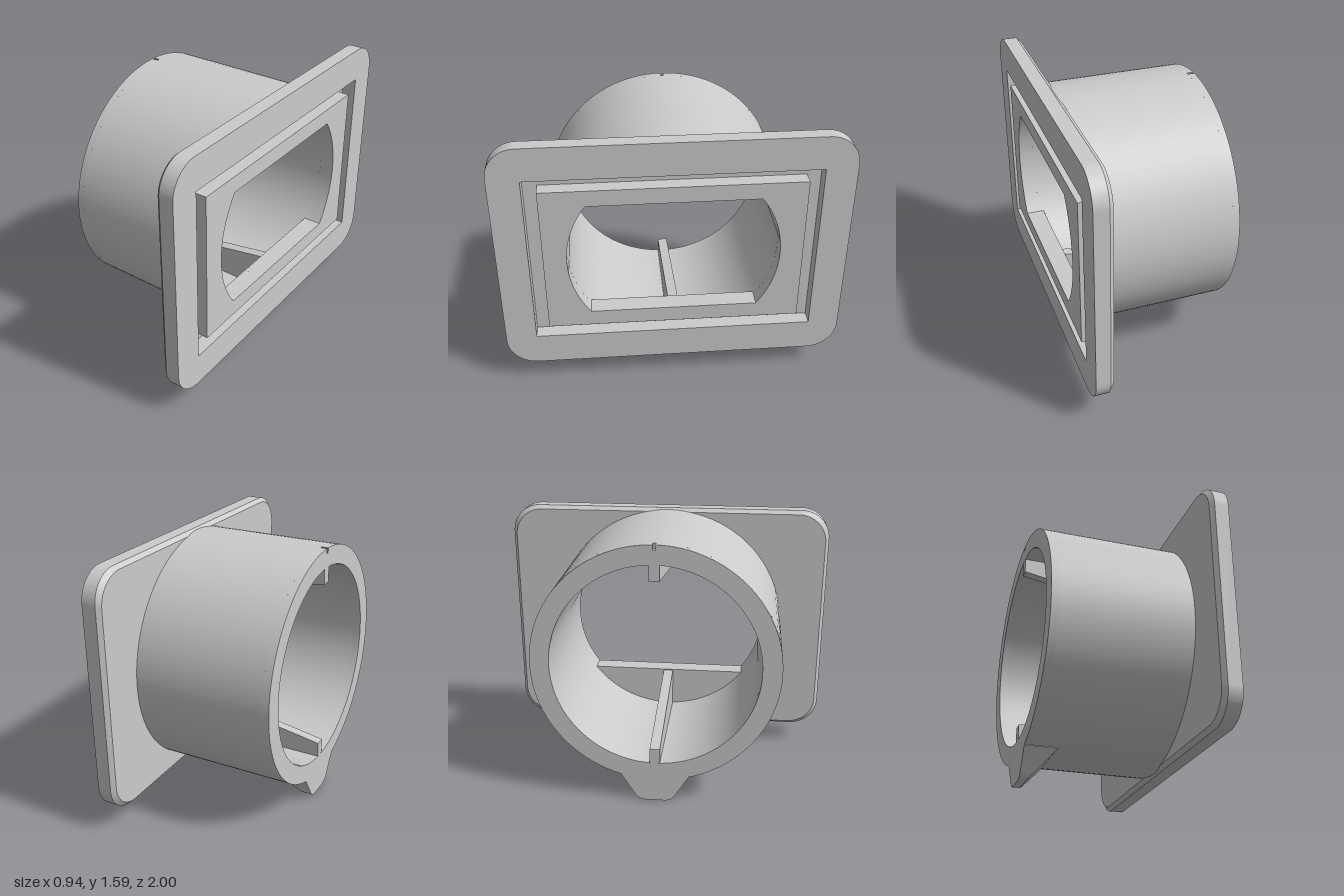
import * as THREE from 'three';
import { toCreasedNormals } from 'three/addons/utils/BufferGeometryUtils.js';

const AXIS_Y = 0.86;               // height of the tube axis
const BACK = -0.47, FRONT = 0.47;  // extent along x
const R_OUT = 0.72, R_IN = 0.607;
const PLATE = 0.36, FLOOR = 0.385; // plate back and groove floor

export function createModel() {
  const material = new THREE.MeshStandardMaterial({ color: 0xcccccc });
  const model = new THREE.Group();
  const body = new THREE.Group();
  body.name = 'adapter';
  body.position.y = AXIS_Y;
  model.add(body);

  // Extrudes a section drawn across the tube axis from x0 to x1
  const addSection = (name, shape, x0, x1, reshape) => {
    let geo = new THREE.ExtrudeGeometry(shape, { depth: x1 - x0, bevelEnabled: false, curveSegments: 48 });
    geo.rotateY(Math.PI / 2).translate(x0, 0, 0);
    if (reshape) {
      const p = geo.attributes.position, v = new THREE.Vector3();
      for (let i = 0; i < p.count; i++) {
        reshape(v.fromBufferAttribute(p, i));
        p.setXYZ(i, v.x, v.y, v.z);
      }
    }
    geo = toCreasedNormals(geo, 0.5);
    const mesh = new THREE.Mesh(geo, material);
    mesh.name = name;
    body.add(mesh);
  };

  const circle = r => new THREE.Path().absarc(0, 0, r, 0, Math.PI * 2, true);

  const rect = (w, h, Type = THREE.Shape) => new Type([
    [-w, -h], [w, -h], [w, h], [-w, h]].map(([x, y]) => new THREE.Vector2(x, y)));

  const roundedRect = (w, h, r) => {
    const s = new THREE.Shape();
    [[1, 1], [-1, 1], [-1, -1], [1, -1]].forEach(([sx, sy], i) =>
      s.absarc(sx * (w - r), sy * (h - r), r, i * Math.PI / 2, (i + 1) * Math.PI / 2, false));
    return s.closePath();
  };

  // Round window cut by flats at top and bottom
  const windowHole = () => {
    const a = Math.asin(0.3625 / R_IN);
    return new THREE.Path()
      .absarc(0, 0, R_IN, -a, a, false)
      .absarc(0, 0, R_IN, Math.PI - a, Math.PI + a, false)
      .closePath();
  };

  // Tube, with a small index notch in the top of its open end
  const ring = new THREE.Shape().absarc(0, 0, R_OUT, 0, Math.PI * 2, false);
  ring.holes.push(circle(R_IN));
  addSection('tube', ring, BACK + 0.04, 0.383);

  const e = 0.008 / R_OUT;
  const notched = new THREE.Shape()
    .absarc(0, 0, R_OUT, Math.PI / 2 + e, Math.PI * 2.5 - e, false)
    .lineTo(0.008, R_OUT - 0.03).lineTo(-0.008, R_OUT - 0.03).closePath();
  notched.holes.push(circle(R_IN));
  addSection('notchedTubeEnd', notched, BACK, BACK + 0.04);

  // Plate back layer, its rear edge chamfered
  const backLayer = roundedRect(1, 0.73, 0.175);
  backLayer.holes.push(windowHole());
  addSection('plateBack', backLayer, PLATE, FLOOR, v => {
    if (v.x < PLATE + 0.001 && Math.hypot(v.y, v.z) > 0.65) {
      v.z *= 0.978;
      v.y *= 0.97;
    }
  });

  // Outer frame and inner panel, leaving a rectangular groove between them
  const frame = roundedRect(1, 0.73, 0.175);
  frame.holes.push(rect(0.82, 0.532, THREE.Path));
  addSection('plateFrame', frame, FLOOR, FRONT);

  const panel = rect(0.74, 0.46);
  panel.holes.push(windowHole());
  addSection('windowPanel', panel, FLOOR, FRONT);

  // Foot under the open end: rounded trapezoid with a sloping front
  const half = Math.asin(0.2 / R_OUT);
  const foot = new THREE.Shape()
    .moveTo(-0.2, -0.695)
    .lineTo(-0.122, -0.82)
    .quadraticCurveTo(-0.1, -0.86, -0.055, -0.86)
    .lineTo(0.055, -0.86)
    .quadraticCurveTo(0.1, -0.86, 0.122, -0.82)
    .lineTo(0.2, -0.695)
    .absarc(0, 0, R_OUT - 0.003, -Math.PI / 2 + half, -Math.PI / 2 - half, true)
    .closePath();
  addSection('foot', foot, BACK, -0.42, v => {
    if (v.x > -0.45) v.x = -0.425 + 0.9 * (v.y + AXIS_Y);
  });

  // Tapered ribs inside the tube, rising towards the plate
  const ribShape = new THREE.Shape([
    [BACK + 0.001, -R_IN], [PLATE, -R_IN], [PLATE, -0.37], [BACK + 0.001, -0.515]
  ].map(([x, y]) => new THREE.Vector2(x, y)));
  const ribGeo = new THREE.ExtrudeGeometry(ribShape, { depth: 0.06, bevelEnabled: false });
  ribGeo.translate(0, 0, -0.03);
  [['bottomRib', 0], ['topRib', Math.PI]].forEach(([name, turn]) => {
    const rib = new THREE.Mesh(ribGeo, material);
    rib.name = name;
    rib.rotation.x = turn;
    body.add(rib);
  });

  return model;
}
